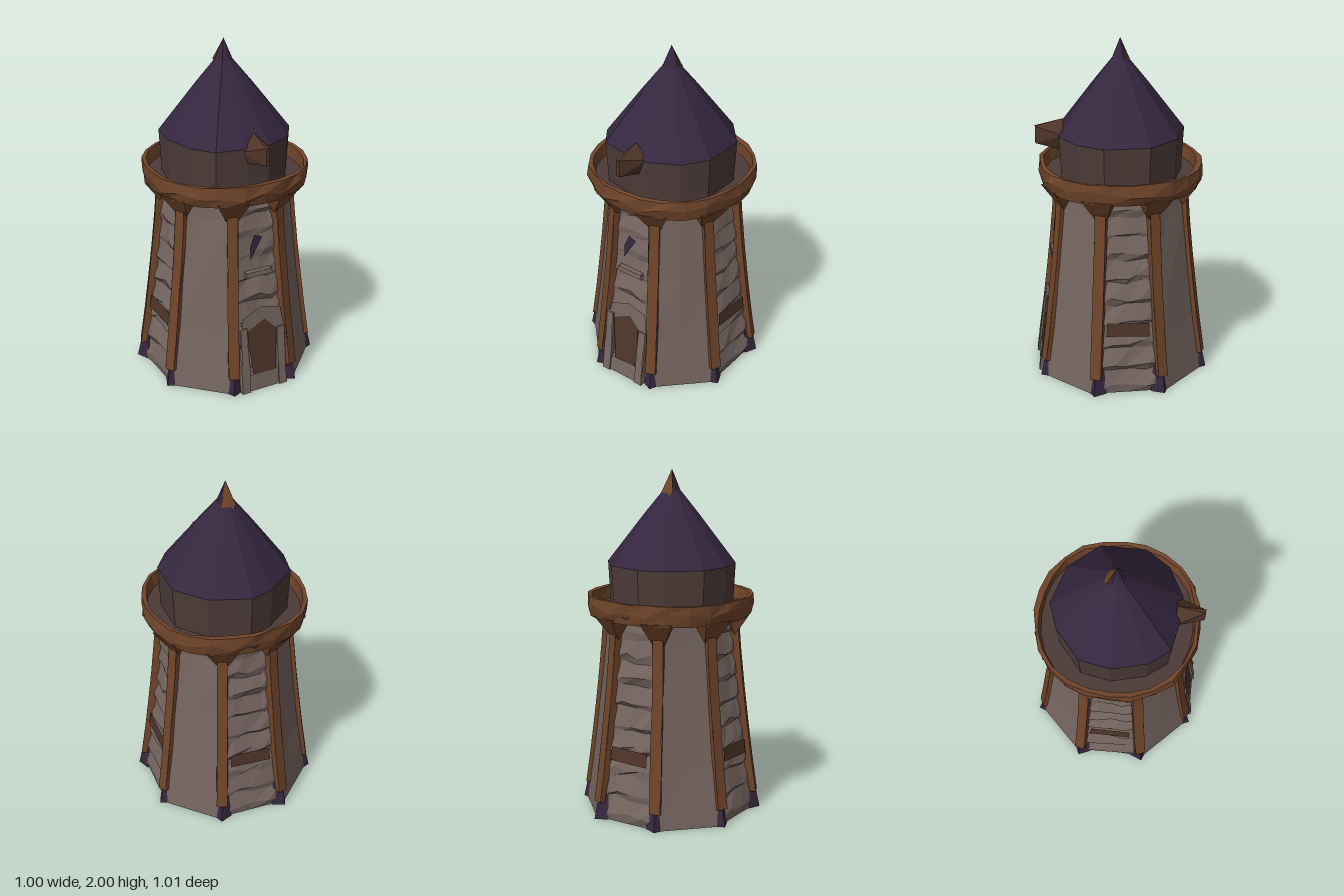
import * as THREE from 'three';
import { ConvexGeometry } from 'three/addons/geometries/ConvexGeometry.js';

const mat = (color) => new THREE.MeshStandardMaterial({ color, flatShading: true, side: THREE.DoubleSide });
const stone = mat(0x75655f), wood = mat(0x70452a), roofing = mat(0x35273f);
const capWall = mat(0x4c3b38), darkWood = mat(0x4f3528);

// Seeded jitter in -1..1
let seed = 11;
const jit = () => {
  seed = (seed * 16807) % 2147483647;
  return (seed / 2147483647) * 2 - 1;
};

// Distance from the axis to a wall face at height y (flared towards the ground)
const WALL = [[0, 0.482], [0.35, 0.435], [0.7, 0.395], [1.05, 0.362], [1.18, 0.355]];
const TAN = Math.tan(Math.PI / 8), COS = Math.cos(Math.PI / 8);
function wallAt(y) {
  for (let i = 1; i < WALL.length; i++) {
    const [y0, r0] = WALL[i - 1], [y1, r1] = WALL[i];
    if (y <= y1) return r0 + ((r1 - r0) * (y - y0)) / (y1 - y0);
  }
  return WALL[WALL.length - 1][1];
}

function add(parent, name, geometry, material) {
  const mesh = new THREE.Mesh(geometry, material);
  mesh.name = name;
  parent.add(mesh);
  return mesh;
}

// Move every vertex with fn(vector)
function warp(geometry, fn) {
  const p = geometry.attributes.position, v = new THREE.Vector3();
  for (let i = 0; i < p.count; i++) {
    fn(v.fromBufferAttribute(p, i));
    p.setXYZ(i, v.x, v.y, v.z);
  }
  geometry.computeVertexNormals();
  return geometry;
}

// Skin a stack of closed rings of [x, y, z] points
function loft(rings) {
  const n = rings[0].length, index = [];
  for (let r = 0; r < rings.length - 1; r++) {
    for (let i = 0; i < n; i++) {
      const a = r * n + i, b = r * n + ((i + 1) % n);
      index.push(a, b, b + n, a, b + n, a + n);
    }
  }
  const g = new THREE.BufferGeometry();
  g.setAttribute('position', new THREE.Float32BufferAttribute(rings.flat(2), 3));
  g.setIndex(index);
  g.computeVertexNormals();
  return g;
}

// Plain wall face: a few broad facets
function smoothPanel() {
  return warp(new THREE.PlaneGeometry(2, 1, 2, 4), (v) => {
    const y = WALL[Math.round((v.y + 0.5) * 4)][0], inner = y > 0 && y < 1.1;
    const x = v.x;
    v.y = y + (inner && x === 0 ? jit() * 0.06 : 0);
    v.x = x * wallAt(y) * TAN;
    v.z = wallAt(v.y) + (x === 0 && inner ? jit() * 0.008 : 0);
  });
}

// Rough wall face: crooked overlapping courses, slightly sunken
function roughPanel() {
  const rows = 18;
  return warp(new THREE.PlaneGeometry(2, 1, 4, rows), (v) => {
    const row = Math.round((v.y + 0.5) * rows), edge = Math.abs(v.x) > 0.9;
    const inner = row > 0 && row < rows;
    let y = (row / rows) * 1.18;
    if (inner) y += (row % 2 ? -0.018 : 0.014) + jit() * 0.016;
    v.x = (v.x + (edge ? 0 : jit() * 0.15)) * wallAt(y) * TAN;
    v.y = y;
    v.z = wallAt(y) - 0.012 + (edge ? 0 : (row % 2 ? 0.009 : -0.009) + jit() * 0.008);
  });
}

// Flat outline laid on a wall face
function wallPatch(points, lift) {
  const shape = new THREE.Shape(points.map(([x, y]) => new THREE.Vector2(x, y)));
  return warp(new THREE.ShapeGeometry(shape), (v) => { v.z = wallAt(v.y) + lift; });
}

// Bar following the wall from height y0 to y1
function wallBar(x, y0, y1, w, d) {
  return warp(new THREE.BoxGeometry(w, 1, d, 1, 3, 1), (v) => {
    v.y = y0 + (v.y + 0.5) * (y1 - y0);
    v.x += x + jit() * 0.006;
    v.z += wallAt(v.y);
  });
}

function buildTower() {
  const tower = new THREE.Group();
  tower.name = 'tower';
  for (let k = 0; k < 8; k++) {
    const side = new THREE.Group();
    side.name = 'wallSide';
    side.rotation.y = (k * Math.PI) / 4;
    tower.add(side);
    add(side, 'wall', k % 2 ? smoothPanel() : roughPanel(), stone);

    if (k === 0) {
      // Doorway and window on the front
      add(side, 'door', wallPatch([[-0.07, 0.1], [0.08, 0.1], [0.1, 0.35], [0.02, 0.43], [-0.1, 0.37]], 0.014), darkWood);
      add(side, 'leftJamb', wallBar(0.12, 0, 0.36, 0.05, 0.05), stone);
      add(side, 'rightJamb', wallBar(-0.125, 0, 0.4, 0.05, 0.05), stone);
      add(side, 'doorstep', wallBar(0, 0, 0.1, 0.2, 0.03), stone);
      const lintel = [[-0.14, 0.36], [-0.1, 0.37], [0.02, 0.43], [0.1, 0.35], [0.15, 0.36], [0.13, 0.48], [0, 0.51], [-0.12, 0.46]];
      add(side, 'lintel', wallPatch(lintel, 0.016), stone);
      add(side, 'window', wallPatch([[-0.05, 0.8], [0.03, 0.93], [-0.02, 0.95], [-0.05, 0.88]], 0.012), roofing);
      add(side, 'windowSill', wallBar(0, 0.7, 0.73, 0.17, 0.04), stone);
    } else if (k % 2 === 0) {
      const beam = [[-0.13, 0.36], [0.12, 0.35], [0.12, 0.43], [-0.12, 0.44]];
      add(side, 'crossBeam', wallPatch(beam, 0.011), darkWood);
    }

    // Corner post, foot and balcony bracket
    const corner = new THREE.Group();
    corner.name = 'corner';
    corner.rotation.y = ((k + 0.5) * Math.PI) / 4;
    tower.add(corner);
    add(corner, 'cornerPost', warp(new THREE.BoxGeometry(1, 1, 0.05, 1, 5, 1), (v) => {
      v.y = 0.1 + (v.y + 0.5) * 1.07;
      v.x *= 0.062 + jit() * 0.006;
      v.z += wallAt(v.y) / COS - 0.012;
    }), wood);
    add(corner, 'cornerFoot', warp(new THREE.CylinderGeometry(0.02, 0.058, 0.3, 4, 1), (v) => {
      v.y += 0.15;
      v.z += 0.483 - v.y * 0.1;
    }), roofing);
    add(corner, 'bracket', new ConvexGeometry([
      [0, 1.03, 0.37], [-0.035, 1.05, 0.385], [0.035, 1.05, 0.385],
      [-0.09, 1.18, 0.47], [0.09, 1.18, 0.47], [-0.09, 1.18, 0.34], [0.09, 1.18, 0.34],
    ].map((p) => new THREE.Vector3(...p))), wood);
  }
  return tower;
}

function buildBalcony() {
  const balcony = new THREE.Group();
  balcony.name = 'balcony';
  const deck = add(balcony, 'deck', new THREE.CylinderGeometry(0.47, 0.455, 0.04, 16), capWall);
  deck.position.y = 1.19;
  // Uneven timber railing, thicker at the corners
  const profile = [[-0.012, 1.165, 0], [0.006, 1.225, 0.025], [0, 1.285, 0.004], [-0.026, 1.285, 0.004], [-0.035, 1.2, 0]];
  const rings = profile.map(([dr, y, wobble]) => Array.from({ length: 24 }, (_, i) => {
    const a = (i / 24) * Math.PI * 2;
    const r = 0.478 - 0.008 * Math.cos(4 * a) + dr + (wobble ? jit() * 0.008 : 0);
    return [Math.cos(a) * r, y + jit() * wobble, -Math.sin(a) * r];
  }));
  add(balcony, 'railing', loft([...rings, rings[0]]), wood);
  return balcony;
}

function buildCap() {
  const cap = new THREE.Group();
  cap.name = 'cap';
  // Uneven eave outline as [x, z]
  const eave = [[0.355, -0.13], [0.21, -0.3], [-0.02, -0.375], [-0.16, -0.325], [-0.335, -0.18], [-0.37, 0],
    [-0.32, 0.2], [-0.23, 0.32], [-0.05, 0.355], [0.09, 0.36], [0.26, 0.27], [0.355, 0.13]];
  const ring = (y, s) => eave.map(([x, z]) => [x * s - 0.008 * (1 - s), y, z * s]);
  add(cap, 'capWall', loft([ring(1.2, 0.965), ring(1.28, 0.975), ring(1.46, 1)]), capWall);
  add(cap, 'roof', loft([ring(1.455, 0.9), ring(1.46, 1), ring(1.74, 0.43), ring(1.88, 0.13), ring(2, 0)]), roofing);

  const hull = (pts) => new ConvexGeometry(pts.map((p) => new THREE.Vector3(...p)));
  // Timber facet at the back of the spire
  add(cap, 'spirePatch', hull([[-0.05, 1.87, -0.055], [0.035, 1.87, -0.045], [-0.008, 1.83, -0.075],
    [-0.008, 1.995, -0.002], [-0.008, 1.88, 0]]), wood);
  // Axle housing poking out of the front
  add(cap, 'axleHousing', hull([[-0.075, 1.44, 0.33], [0.085, 1.46, 0.33], [0, 1.54, 0.33], [0.04, 1.36, 0.33],
    [-0.05, 1.37, 0.33], [-0.045, 1.46, 0.39], [0.045, 1.46, 0.39], [0, 1.52, 0.39], [0.01, 1.385, 0.39],
    [-0.012, 1.4, 0.49], [0.012, 1.4, 0.49], [0.01, 1.5, 0.49], [-0.01, 1.5, 0.49]]), darkWood);
  return cap;
}

export function createModel() {
  const model = new THREE.Group();
  model.name = 'windmillTower';
  model.add(buildTower(), buildBalcony(), buildCap());
  return model;
}
